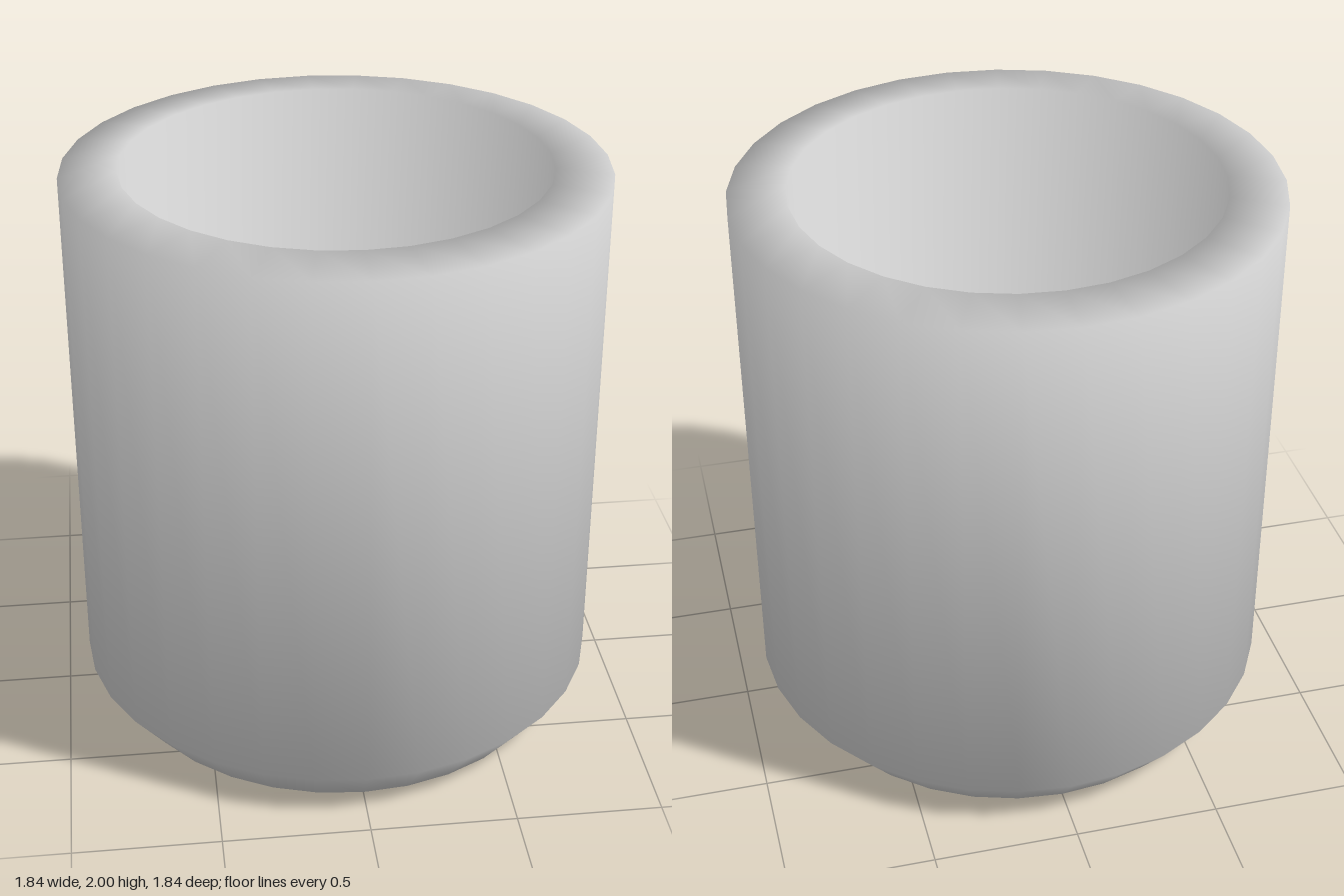
import * as THREE from 'three';

export function createModel() {
  const group = new THREE.Group();
  group.name = 'cup';

  // Closed profile: underside, chamfer, outer wall, sloped rim, inner wall, floor
  const profile = [
    [0, 0], [0.8, 0], [0.92, 0.15], [0.92, 1.985],
    [0.725, 2], [0.725, 0.17], [0, 0.17],
  ].map(([x, y]) => new THREE.Vector2(x, y));
  const geometry = new THREE.LatheGeometry(profile, 32);

  // Smooth normals that weigh neighbouring bands equally, so shading rolls over each edge
  const bands = profile.slice(1).map((p, i) => {
    const d = p.clone().sub(profile[i]).normalize();
    return new THREE.Vector2(d.y, -d.x);
  });
  const blended = profile.map((p, i) =>
    (bands[i - 1] ?? bands[i]).clone().add(bands[i] ?? bands[i - 1]).normalize());
  const normal = geometry.attributes.normal;
  for (let i = 0; i < normal.count; i++) {
    const n = blended[i % profile.length];
    const angle = Math.floor(i / profile.length) * Math.PI * 2 / 32;
    normal.setXYZ(i, n.x * Math.sin(angle), n.y, n.x * Math.cos(angle));
  }

  const body = new THREE.Mesh(geometry, new THREE.MeshStandardMaterial({ color: 0xcccccc }));
  body.name = 'cupBody';
  group.add(body);
  return group;
}
